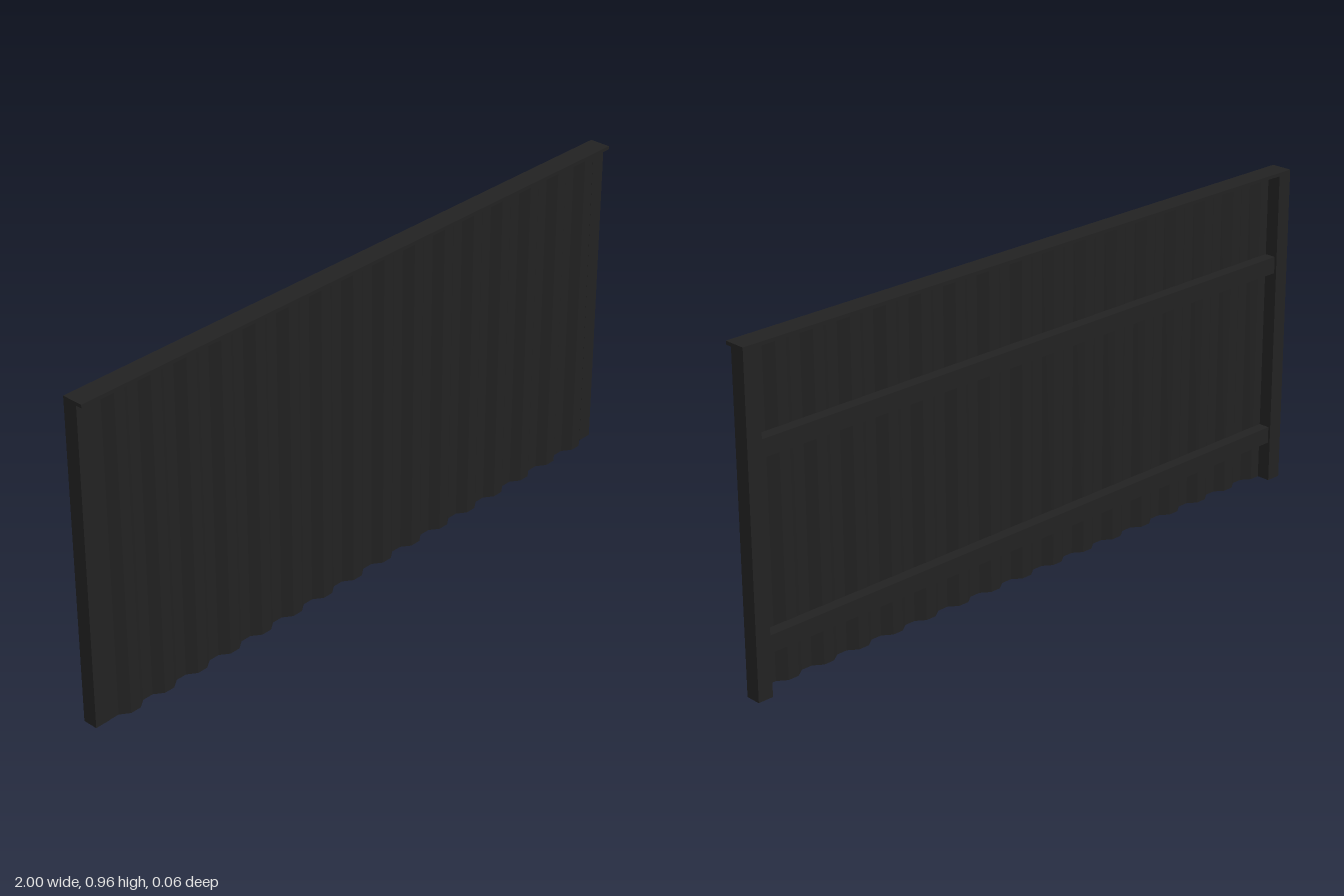
import * as THREE from 'three';

const HEIGHT = 0.96, CAP = 0.01;
const material = new THREE.MeshStandardMaterial({ color: 0x222222, flatShading: true });

// Box given by its min and max corners
function box(name, [x0, y0, z0], [x1, y1, z1]) {
  const mesh = new THREE.Mesh(new THREE.BoxGeometry(x1 - x0, y1 - y0, z1 - z0), material);
  mesh.position.set((x0 + x1) / 2, (y0 + y1) / 2, (z0 + z1) / 2);
  mesh.name = name;
  return mesh;
}

// Trapezoid-profiled sheet: valley, rise, ridge, fall, repeated between the posts
function corrugatedSheet() {
  const waves = 16, half = 0.955, pitch = (2 * half) / waves;
  const valley = 0.012, ridge = 0.031, thickness = 0.003;
  const front = [[-half, valley]];
  for (let i = 0; i < waves; i++) {
    const x = -half + i * pitch;
    front.push(
      [x + pitch * 0.275, valley],
      [x + pitch * 0.5, ridge],
      [x + pitch * 0.775, ridge],
      [x + pitch, valley]
    );
  }
  const back = front.map(([x, z]) => [x, z - thickness]).reverse();
  // The shape's y becomes -z once the extrusion is stood upright
  const shape = new THREE.Shape([...front, ...back].map(([x, z]) => new THREE.Vector2(x, -z)));
  const geometry = new THREE.ExtrudeGeometry(shape, { depth: HEIGHT - CAP, bevelEnabled: false });
  geometry.rotateX(-Math.PI / 2);
  const mesh = new THREE.Mesh(geometry, material);
  mesh.name = 'corrugatedSheet';
  return mesh;
}

export function createModel() {
  const group = new THREE.Group();
  group.name = 'fencePanel';
  group.add(corrugatedSheet());

  // End posts
  group.add(box('rightPost', [-1, 0, -0.032], [-0.954, HEIGHT - CAP, 0.013]));
  group.add(box('leftPost', [0.954, 0, -0.032], [1, HEIGHT - CAP, 0.013]));

  // Horizontal rails behind the sheet
  group.add(box('lowerRail', [-0.954, 0.12, -0.025], [0.954, 0.17, 0.01]));
  group.add(box('upperRail', [-0.954, 0.655, -0.025], [0.954, 0.705, 0.01]));

  // Flat cap along the top
  group.add(box('topCap', [-1, HEIGHT - CAP, -0.032], [1, HEIGHT, 0.032]));
  return group;
}
